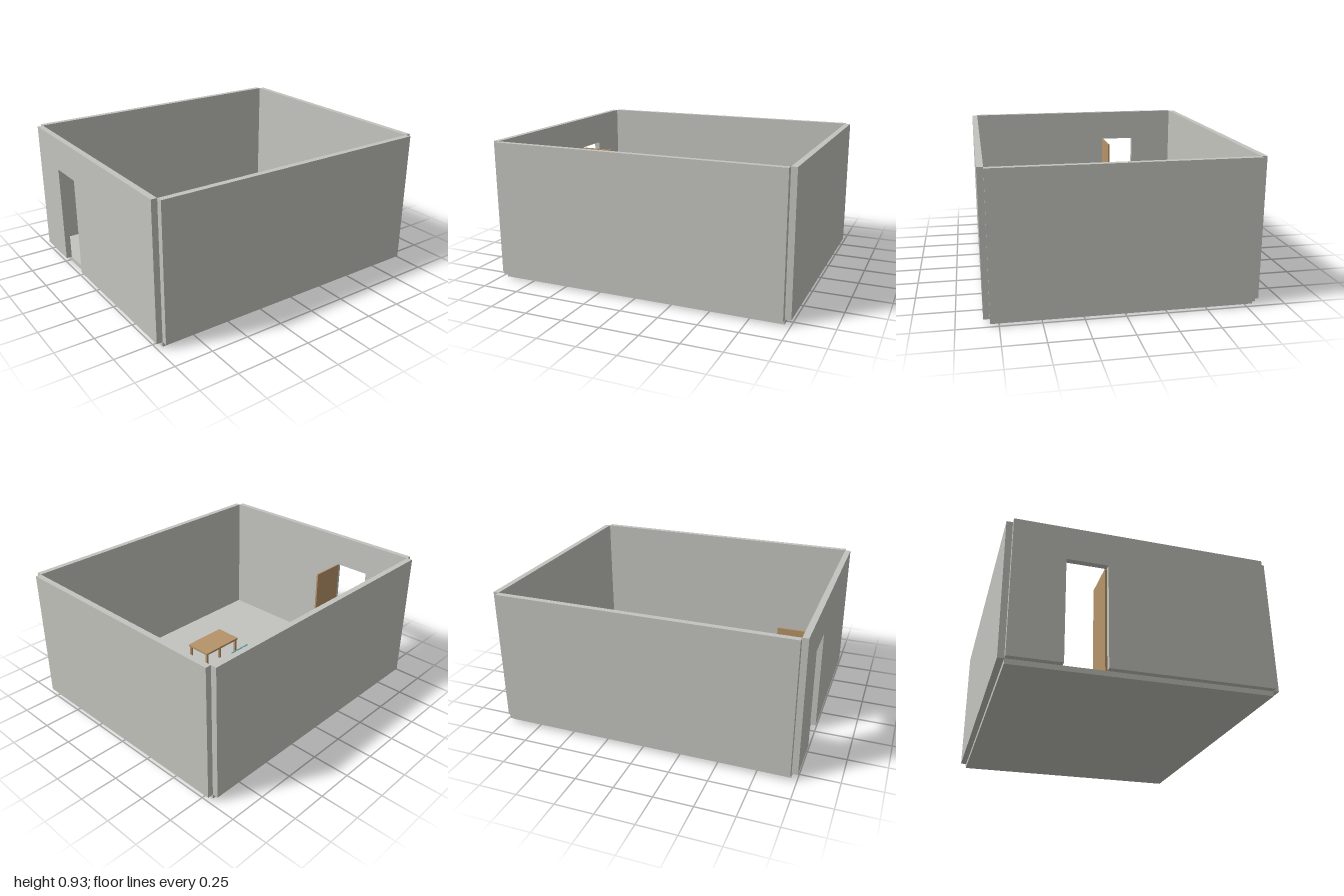
import * as THREE from 'three';

export function createModel() {
  const room = new THREE.Group();
  room.name = 'room';

  const plaster = new THREE.MeshStandardMaterial({ color: 0xc3c3be });
  plaster.name = 'plaster';
  const wood = new THREE.MeshStandardMaterial({ color: 0xb69369 });
  wood.name = 'wood';
  const teal = new THREE.MeshStandardMaterial({ color: 0x4f979c });
  teal.name = 'teal';

  // Box given by its minimum and maximum corners
  function box(parent, name, material, [x0, y0, z0], [x1, y1, z1]) {
    const mesh = new THREE.Mesh(new THREE.BoxGeometry(x1 - x0, y1 - y0, z1 - z0), material);
    mesh.position.set((x0 + x1) / 2, (y0 + y1) / 2, (z0 + z1) / 2);
    mesh.name = name;
    parent.add(mesh);
  }

  // Four square legs inside a rectangle
  function legs(parent, name, material, x, z0, z1, top, size) {
    for (const lx of [-x, x - size]) {
      for (const lz of [z0, z1 - size]) {
        box(parent, name, material, [lx, floorTop, lz], [lx + size, top, lz + size]);
      }
    }
  }

  const X = 0.9615, Z = 0.801, T = 0.0385;
  const floorTop = 0.032, wallTop = 0.929;
  const doorNear = -0.225, doorFar = -0.481, doorTop = 0.705;

  // Shell
  box(room, 'floor', plaster, [-X, 0, -Z], [X, floorTop, Z]);
  box(room, 'frontWall', plaster, [-X, floorTop, Z], [X, wallTop, Z + T]);
  box(room, 'backWall', plaster, [-X, floorTop, -Z - T], [X, wallTop, -Z]);
  box(room, 'leftWall', plaster, [X, floorTop, -Z], [X + T, wallTop, Z]);

  // Right wall, notched for the doorway
  const outline = new THREE.Shape([
    [-Z, floorTop], [doorFar, floorTop], [doorFar, doorTop], [doorNear, doorTop],
    [doorNear, floorTop], [Z, floorTop], [Z, wallTop], [-Z, wallTop],
  ].map(([z, y]) => new THREE.Vector2(z, y)));
  const rightWall = new THREE.Mesh(
    new THREE.ExtrudeGeometry(outline, { depth: T, bevelEnabled: false }), plaster);
  rightWall.rotation.y = -Math.PI / 2;
  rightWall.position.x = -X;
  rightWall.name = 'rightWall';
  room.add(rightWall);

  // Door standing open into the room
  box(room, 'door', wood, [-X, floorTop, doorNear - 0.012], [-0.706, doorTop, doorNear]);

  // Desk
  const desk = new THREE.Group();
  desk.name = 'desk';
  box(desk, 'deskTop', wood, [-0.16, 0.258, 0.062], [0.16, 0.272, 0.253]);
  legs(desk, 'deskLeg', wood, 0.155, 0.067, 0.248, 0.258, 0.016);
  room.add(desk);

  // Chair facing the desk
  const chair = new THREE.Group();
  chair.name = 'chair';
  box(chair, 'seat', teal, [-0.08, 0.16, -0.115], [0.08, 0.176, 0.045]);
  box(chair, 'backrest', teal, [-0.08, 0.176, -0.115], [0.08, 0.32, -0.104]);
  legs(chair, 'chairLeg', teal, 0.077, -0.112, 0.042, 0.16, 0.013);
  room.add(chair);

  return room;
}
